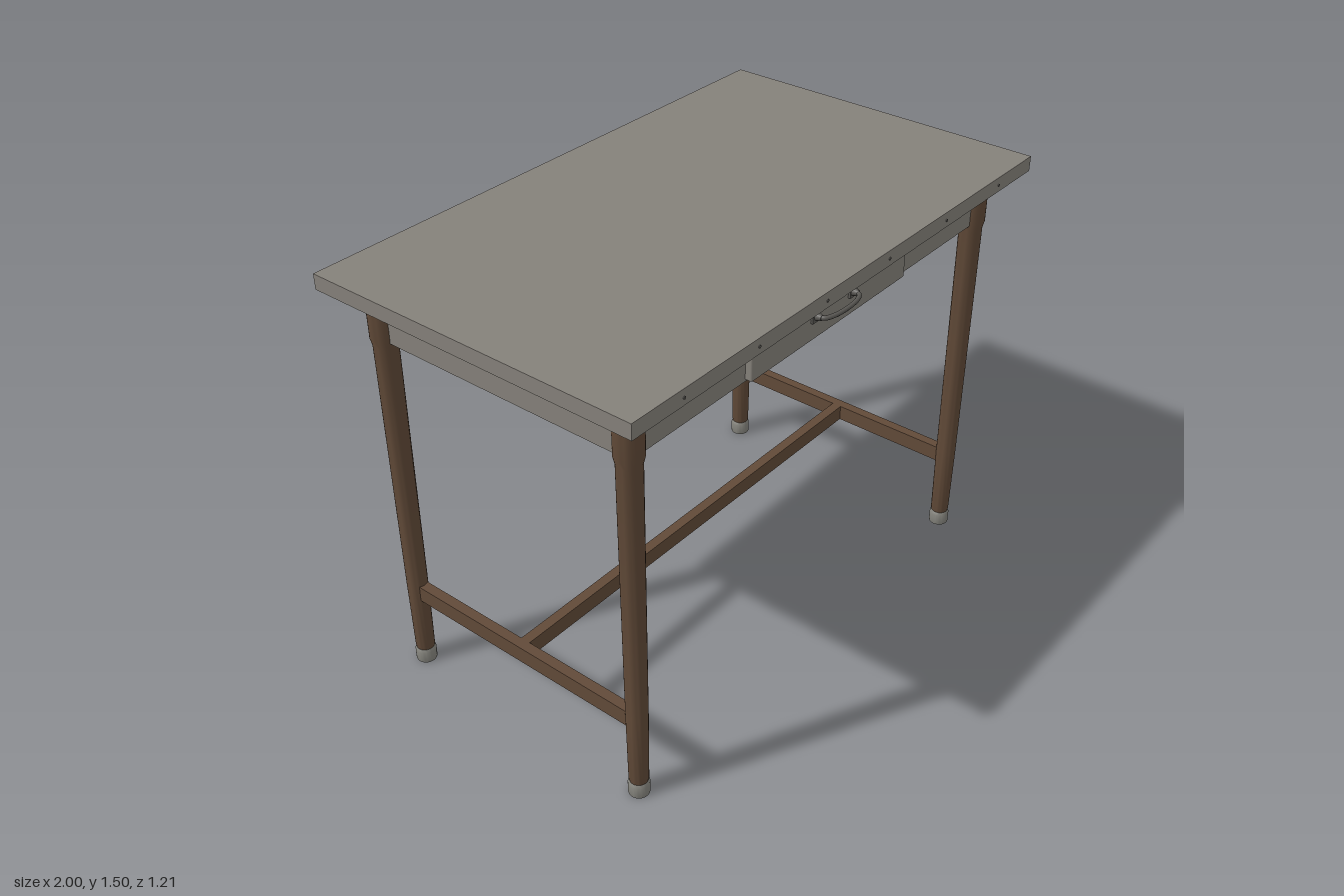
import * as THREE from 'three';
import { RoundedBoxGeometry } from 'three/addons/geometries/RoundedBoxGeometry.js';
import { toCreasedNormals } from 'three/addons/utils/BufferGeometryUtils.js';

export function createModel() {
  const group = new THREE.Group();
  const material = (name, color) => {
    const m = new THREE.MeshStandardMaterial({ color });
    m.name = name;
    return m;
  };
  const grey = material('warm grey laminate', 0x85817a);
  const brown = material('brown enamel', 0x614a38);
  const footGrey = material('foot grey', 0x84837c);
  const metal = material('dark metal', 0x5a5854);

  const add = (name, geometry, mat, x = 0, y = 0, z = 0) => {
    const mesh = new THREE.Mesh(geometry, mat);
    mesh.name = name;
    mesh.position.set(x, y, z);
    group.add(mesh);
    return mesh;
  };
  const box = (name, mat, w, h, d, x, y, z) => add(name, new THREE.BoxGeometry(w, h, d), mat, x, y, z);
  const lathe = (points) => toCreasedNormals(
    new THREE.LatheGeometry(points.map(([r, y]) => new THREE.Vector2(r, y)), 28), 0.6);

  // Table top
  box('tableTop', grey, 2, 0.052, 1.206, 0, 1.469, 0);

  // Tapered legs with a thicker collar and capped feet
  const legX = 0.873, legZ = 0.478;
  const legShape = lathe([[0, 0.045], [0.028, 0.045], [0.032, 0.062], [0.035, 0.33],
    [0.039, 1.25], [0.045, 1.275], [0.045, 1.443], [0, 1.443]]);
  const footShape = lathe([[0, 0], [0.034, 0], [0.035, 0.004], [0.035, 0.043], [0.03, 0.053], [0, 0.053]]);
  for (const sx of [-1, 1]) {
    for (const sz of [-1, 1]) {
      add('leg', legShape, brown, sx * legX, 0, sz * legZ);
      add('foot', footShape, footGrey, sx * legX, 0, sz * legZ);
    }
  }

  // Aprons joining the legs
  for (const s of [-1, 1]) {
    box('longApron', grey, 1.72, 0.173, 0.032, 0, 1.357, s * 0.479);
    box('sideApron', grey, 0.032, 0.173, 0.93, s * legX, 1.357, 0);
  }

  // H-shaped stretcher
  for (const s of [-1, 1]) box('sideStretcher', brown, 0.036, 0.058, 0.9, s * legX, 0.304, 0);
  box('longStretcher', brown, 1.71, 0.058, 0.036, 0, 0.304, 0);

  // Drawer front
  add('drawerFront', new RoundedBoxGeometry(0.79, 0.162, 0.03, 3, 0.006), grey, 0, 1.356, 0.503);

  // Bowed drawer pull with a plate and a flared stem at each end
  const y = 1.358;
  const path = new THREE.CatmullRomCurve3([[-0.094, 0.53], [-0.09, 0.548], [-0.06, 0.562], [0, 0.568],
    [0.06, 0.562], [0.09, 0.548], [0.094, 0.53]].map(([px, pz]) => new THREE.Vector3(px, y, pz)));
  add('drawerPull', new THREE.TubeGeometry(path, 32, 0.0075, 10), metal);
  for (const s of [-1, 1]) {
    box('pullPlate', metal, 0.036, 0.038, 0.009, s * 0.096, y, 0.5215);
    const stem = add('pullStem', new THREE.CylinderGeometry(0.009, 0.014, 0.018, 16), metal, s * 0.094, y, 0.534);
    stem.rotation.x = Math.PI / 2;
  }

  // Small screw heads along the front edge of the top
  const screwShape = new THREE.CylinderGeometry(0.005, 0.005, 0.004, 10).rotateX(Math.PI / 2);
  for (let i = 0; i < 6; i++) add('screw', screwShape, metal, -0.795 + i * 0.318, 1.467, 0.603);

  return group;
}
